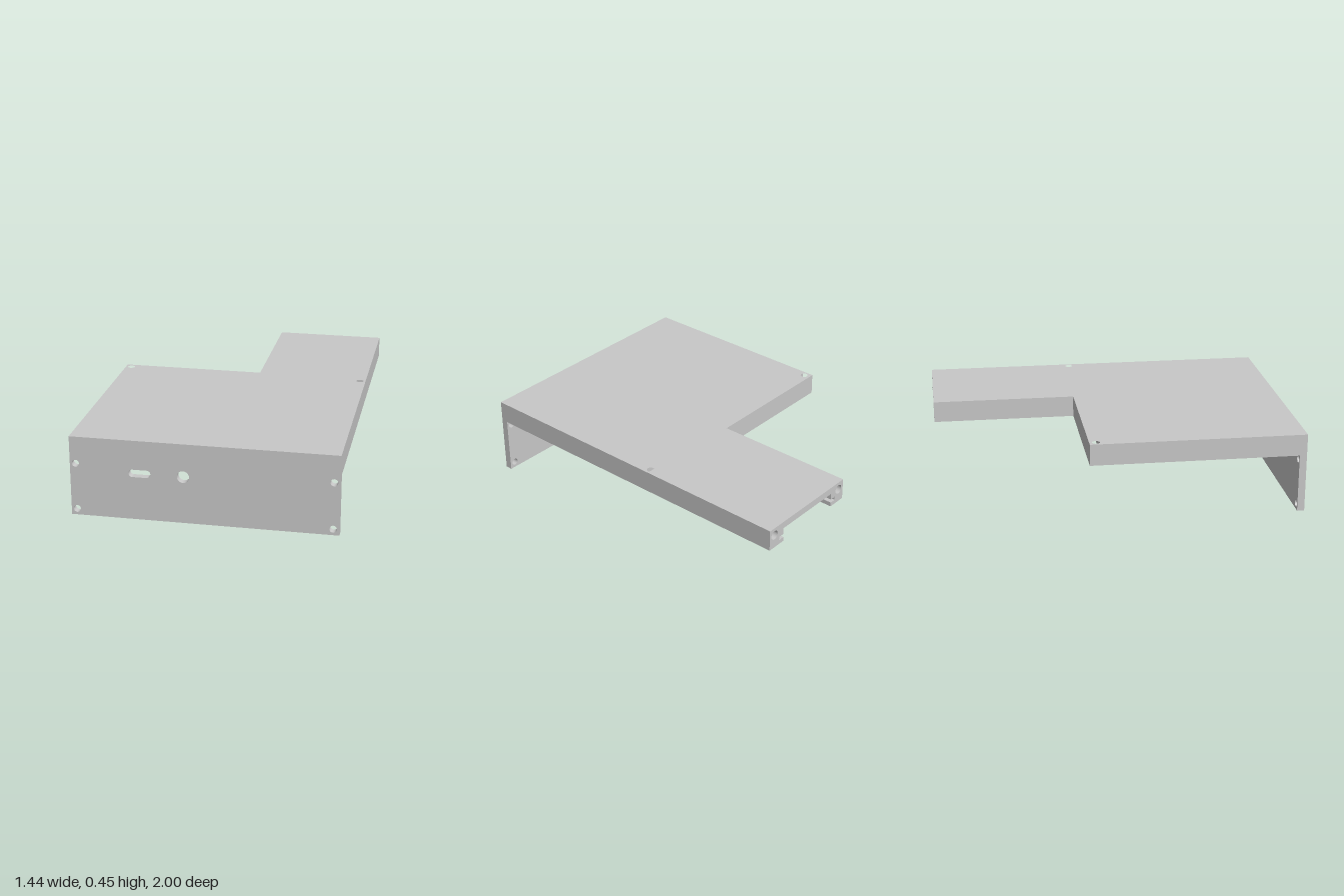
import * as THREE from 'three';

const grey = new THREE.MeshStandardMaterial({ color: 0xc8c8c8 });
grey.name = 'lightGrey';

// Round hole
function circle(x, y, r) {
  return new THREE.Path().absarc(x, y, r, 0, Math.PI * 2, true);
}

// Closed shape from points, with round holes given as [x, y, radius]
function makeShape(points, holes = []) {
  const shape = new THREE.Shape(points.map(([x, y]) => new THREE.Vector2(x, y)));
  for (const [x, y, r] of holes) shape.holes.push(circle(x, y, r));
  return shape;
}

function extrude(shape, depth) {
  return new THREE.ExtrudeGeometry(shape, { depth, bevelEnabled: false, curveSegments: 24 });
}

const rect = (x0, x1, z0, z1) => [[x0, z0], [x1, z0], [x1, z1], [x0, z1]];

export function createModel() {
  const model = new THREE.Group();

  function add(name, geometry) {
    const mesh = new THREE.Mesh(geometry, grey);
    mesh.name = name;
    model.add(mesh);
  }
  // Horizontal layer: outline in x and z, from y0 up to y1
  function layer(name, y0, y1, points, holes = []) {
    const shape = makeShape(points.map(([x, z]) => [x, -z]), holes.map(([x, z, r]) => [x, -z, r]));
    add(name, extrude(shape, y1 - y0).rotateX(-Math.PI / 2).translate(0, y0, 0));
  }
  // Cross-section in x and y, running from z0 to z1
  function run(name, shape, z0, z1) {
    add(name, extrude(shape, z1 - z0).translate(0, 0, z0));
  }

  const W = 0.718, A = 0.09;                         // half width, inner edge of the arm
  const E = -0.9, B = -0.19, M = -0.12, F = 0.96;    // z stations from back to panel
  const Y0 = 0.326, Y1 = 0.35, Y2 = 0.37, Y3 = 0.406, Y4 = 0.446;
  const lipL = 0.195, slotL = 0.16, lipR = 0.605, slotR = 0.64, rimX = -0.675;
  const holeL = [-0.685, -0.153, 0.021], holeR = [0.685, -0.153, 0.021];

  // Front panel with corner holes, a long slot and a round opening
  const panel = makeShape(rect(-W, W, 0, Y4), [
    [-0.687, 0.295, 0.02], [0.685, 0.295, 0.02],
    [-0.687, 0.034, 0.02], [0.685, 0.034, 0.02],
    [-0.107, 0.262, 0.033],
  ]);
  const slot = new THREE.Path();
  slot.absarc(-0.379, 0.262, 0.021, Math.PI / 2, Math.PI * 1.5, false);
  slot.absarc(-0.302, 0.262, 0.021, -Math.PI / 2, Math.PI / 2, false);
  slot.closePath();
  panel.holes.push(slot);
  run('frontPanel', panel, F, 1);

  // Grooved channel shared by the arm and the wide part
  const channel = [
    [slotL, Y1], [slotL, Y2], [lipL, Y2], [lipL, Y3],
    [lipR, Y3], [lipR, Y2], [slotR, Y2], [slotR, Y1], [lipR, Y1], [lipR, Y0],
    [W, Y0], [W, Y4],
  ];
  const armOutline = [[A, Y0], [lipL, Y0], [lipL, Y1], ...channel, [A, Y4]];
  const screwHoles = [[0.13, 0.402, 0.026], [0.68, 0.402, 0.026]];
  run('armEnd', makeShape(armOutline, screwHoles), -1, E);
  run('arm', makeShape(armOutline), E, B);
  run('widePart', makeShape([[-W, Y0], [rimX, Y0], [rimX, Y1], ...channel, [-W, Y4]]), M, F);

  // Band behind the wide part, pierced by two vertical holes
  layer('bandSide', Y1, Y4, rect(-W, slotL, B, M), [holeL]);
  layer('bandTop', Y3, Y4, rect(slotL, W, B, M), [holeR]);
  layer('bandLip', Y2, Y3, rect(slotL, lipL, B, M));
  for (const [y0, y1, x] of [[Y0, Y1, lipR], [Y1, Y2, slotR], [Y2, Y3, lipR]]) {
    layer('bandOuterWall', y0, y1, rect(x, W, B, M), [holeR]);
  }
  layer('backRim', Y0, Y1,
    [[-W, B], [lipL, B], [lipL, -0.16], [-0.655, -0.16], [-0.655, M], [-W, M]], [holeL]);

  // Lower lip of the inner rail
  layer('innerRail', Y0, Y1, rect(A, lipL, 0.19, F));

  // Ring bosses on the underside
  const ring = new THREE.Shape().absarc(0, 0, 0.065, 0, Math.PI * 2, false);
  ring.holes.push(circle(0, 0, 0.024));
  for (const [x, z, y0, y1] of [
    [-0.25, 0, 0.33, Y1], [-0.54, 0.03, 0.33, Y1],
    [-0.54, 0.76, 0.33, Y1], [0.49, -0.01, Y0, Y3],
  ]) {
    add('boss', extrude(ring, y1 - y0).rotateX(-Math.PI / 2).translate(x, y0, z));
  }
  return model;
}
